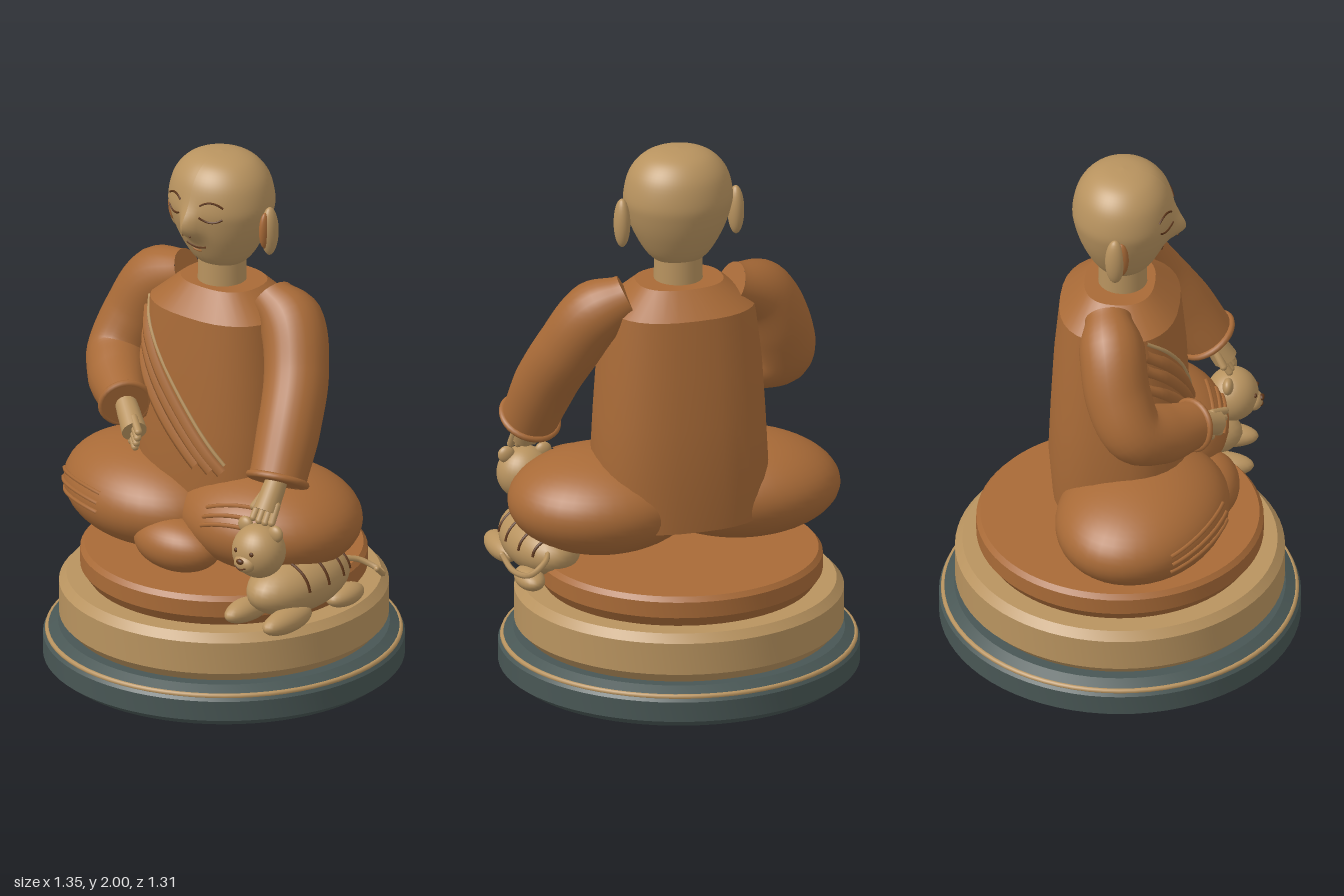
import * as THREE from 'three';
import { toCreasedNormals } from 'three/addons/utils/BufferGeometryUtils.js';

const V = (x, y, z) => new THREE.Vector3(x, y, z);
const material = (name, color) => Object.assign(new THREE.MeshStandardMaterial({ color }), { name });
const CX = -0.02; // axis of the plinth and body

export function createModel() {
  const robe = material('robe orange', 0xa86a37);
  const skin = material('warm tan', 0xb8935f);
  const slate = material('dark slate', 0x485654);
  const brown = material('dark brown', 0x5c3519);
  const root = new THREE.Group();
  root.name = 'seatedMonk';

  const add = (name, geo, mat, parent = root) => {
    const mesh = new THREE.Mesh(geo, mat);
    mesh.name = name;
    parent.add(mesh);
    return mesh;
  };
  const ball = (name, mat, p, r, parent = root, seg = 24) => {
    const mesh = add(name, new THREE.SphereGeometry(1, seg, Math.ceil(seg * 0.7)).scale(...r), mat, parent);
    mesh.position.set(...p);
    return mesh;
  };
  const lathe = (pts, seg) => new THREE.LatheGeometry(pts.map(p => new THREE.Vector2(...p)), seg);
  const tube = (name, mat, pts, r, parent = root, seg = 24) =>
    add(name, new THREE.TubeGeometry(new THREE.CatmullRomCurve3(pts), seg, r, 6), mat, parent);
  // Curve laid over a surface given as z = f(x, y)
  const drape = (name, mat, from, to, bow, f, r, parent = root) => {
    const pts = [];
    for (let i = 0; i <= 10; i++) {
      const t = i / 10;
      const x = THREE.MathUtils.lerp(from[0], to[0], t);
      const y = THREE.MathUtils.lerp(from[1], to[1], t) + bow * 4 * t * (1 - t);
      pts.push(V(x, y, f(x, y)));
    }
    return tube(name, mat, pts, r, parent);
  };
  // Tube whose radius follows a list, closed with discs
  const limb = (name, mat, pts, radii, parent = root) => {
    const curve = new THREE.CatmullRomCurve3(pts.map(p => V(...p)));
    const seg = 36, sides = 24;
    const geo = new THREE.TubeGeometry(curve, seg, 1, sides);
    const pos = geo.attributes.position, v = V(0, 0, 0);
    for (let i = 0; i <= seg; i++) {
      const c = curve.getPointAt(i / seg);
      const s = curve.getUtoTmapping(i / seg) * (radii.length - 1);
      const k = Math.min(Math.floor(s), radii.length - 2);
      const r = THREE.MathUtils.lerp(radii[k], radii[k + 1], THREE.MathUtils.smoothstep(s - k, 0, 1));
      for (let j = 0; j <= sides; j++) {
        const n = i * (sides + 1) + j;
        v.fromBufferAttribute(pos, n).sub(c).multiplyScalar(r).add(c);
        pos.setXYZ(n, v.x, v.y, v.z);
      }
    }
    add(name, geo, mat, parent);
    [0, 1].forEach(u => {
      const cap = add(name + 'End', new THREE.CircleGeometry(radii[u * (radii.length - 1)], sides), mat, parent);
      cap.position.copy(curve.getPointAt(u));
      cap.quaternion.setFromUnitVectors(V(0, 0, 1), curve.getTangentAt(u).multiplyScalar(u ? 1 : -1));
    });
    return curve;
  };

  // Three-tier round plinth
  const tier = (name, mat, pts) => {
    add(name, toCreasedNormals(lathe(pts, 72), 0.35), mat).position.x = CX;
  };
  tier('plinthBase', slate, [[0, 0], [0.615, 0], [0.655, 0.03], [0.655, 0.105], [0.635, 0.13], [0.6, 0.15], [0, 0.15]]);
  tier('plinthMiddle', skin, [[0, 0.14], [0.55, 0.14], [0.597, 0.19], [0.597, 0.31], [0.57, 0.34], [0, 0.34]]);
  tier('cushion', robe, [[0, 0.33], [0.485, 0.33], [0.52, 0.38], [0.52, 0.44], [0.505, 0.458], [0, 0.458]]);
  const trim = add('plinthTrim', new THREE.TorusGeometry(0.638, 0.01, 8, 72).rotateX(Math.PI / 2), skin);
  trim.position.set(CX, 0.121, 0);

  // Crossed legs with robe folds
  const leg = (name, p, r, yaw, folds, x0, x1) => {
    const group = new THREE.Group();
    group.name = name;
    group.position.set(...p);
    group.rotation.y = yaw;
    root.add(group);
    ball('thigh', robe, [0, 0, 0], r, group, 40);
    const f = (x, y) => r[2] * Math.sqrt(1 - (x / r[0]) ** 2 - (y / r[1]) ** 2);
    folds.forEach(y => drape('legFold', robe, [x0, y - 0.01], [x1, y + 0.02], 0.012, f, 0.008, group));
  };
  leg('rightLeg', [-0.27, 0.645, 0.105], [0.38, 0.19, 0.3], -0.35, [-0.03, 0.005, 0.04], -0.24, 0.1);
  leg('leftLeg', [0.25, 0.66, 0.06], [0.35, 0.19, 0.31], 0, [0.04, 0.07, 0.1], -0.08, 0.12);
  ball('foldedFoot', robe, [0.02, 0.565, 0.31], [0.18, 0.1, 0.12], root, 32);

  // Torso with a rounded-square section
  const torsoProfile = [[0, 0.6], [0.3, 0.6], [0.32, 0.8], [0.31, 1.0], [0.297, 1.2], [0.272, 1.41], [0.16, 1.5], [0, 1.5]];
  const torsoGeo = lathe(torsoProfile, 32);
  const tp = torsoGeo.attributes.position;
  const bulge = (a, r) => (r > 0 ? Math.sign(a) * r * Math.abs(a / r) ** 0.8 : 0);
  for (let i = 0; i < tp.count; i++) {
    const x = tp.getX(i), z = tp.getZ(i), r = Math.hypot(x, z);
    tp.setXYZ(i, bulge(x, r) + CX, tp.getY(i), bulge(z, r) * 0.8);
  }
  add('torso', toCreasedNormals(torsoGeo, 0.45), robe);

  // Diagonal sash folds across the chest
  const chest = (x, y) => {
    const r = 0.32 - 0.048 * Math.max(0, (y - 0.8) / 0.61);
    return 0.8 * r * Math.max(0, 1 - Math.min(1, Math.abs((x - CX) / r)) ** 2.5) ** 0.4;
  };
  drape('sashEdge', skin, [-0.27, 1.4], [0.17, 0.88], -0.01, (x, y) => chest(x, y) + 0.006, 0.007);
  [[[-0.275, 1.35], [0.16, 0.85]], [[-0.28, 1.29], [0.12, 0.85]], [[-0.29, 1.22], [0.06, 0.86]]].forEach(([a, b]) =>
    drape('sashFold', robe, a, b, -0.02, chest, 0.024));

  // Sleeves with cuffs
  const sleeve = (name, pts, radii) => {
    const curve = limb(name, robe, pts, radii);
    const end = radii[radii.length - 1];
    const cuff = add(name + 'Cuff', new THREE.TorusGeometry(end, 0.013, 8, 32), robe);
    cuff.position.copy(curve.getPointAt(0.985));
    cuff.quaternion.setFromUnitVectors(V(0, 0, 1), curve.getTangentAt(1));
  };
  sleeve('rightSleeve', [[-0.21, 1.46, -0.025], [-0.33, 1.405, 0], [-0.41, 1.26, 0.03], [-0.44, 1.13, 0.09],
    [-0.37, 1.075, 0.18], [-0.24, 1.03, 0.29]], [0.085, 0.12, 0.12, 0.115, 0.11, 0.088]);
  sleeve('leftSleeve', [[0.185, 1.46, -0.025], [0.3, 1.4, 0], [0.38, 1.25, 0.07], [0.43, 1.09, 0.17],
    [0.46, 0.91, 0.275]], [0.085, 0.12, 0.118, 0.115, 0.105]);

  // Hands: wrist, palm and four fingers spread sideways, plus a thumb
  const hand = (name, from, to, side) => {
    const group = new THREE.Group();
    group.name = name;
    root.add(group);
    const a = V(...from), b = V(...to), s = V(...side);
    const at = (t, k) => a.clone().lerp(b, t).addScaledVector(s, k);
    limb('palm', skin, [at(0, 0), at(0.35, 0), at(0.72, 0)].map(p => p.toArray()), [0.04, 0.043, 0.046], group);
    const finger = (p, q) => {
      const d = q.clone().sub(p);
      const m = add('finger', new THREE.CapsuleGeometry(0.014, d.length(), 4, 10), skin, group);
      m.position.copy(p).addScaledVector(d, 0.5);
      m.quaternion.setFromUnitVectors(V(0, 1, 0), d.normalize());
    };
    [-0.039, -0.013, 0.013, 0.039].forEach(k => finger(at(0.55, k), at(0.95 - Math.abs(k), k * 1.1)));
    finger(at(0.3, 0.03), at(0.7, 0.058));
  };
  hand('rightHand', [-0.25, 1.035, 0.28], [-0.1, 0.95, 0.39], [-0.35, -0.85, -0.2]);
  hand('leftHand', [0.46, 0.93, 0.27], [0.46, 0.775, 0.365], [-1, 0, 0]);

  // Neck and egg-shaped head with a drawn-out nose
  add('neck', new THREE.CylinderGeometry(0.088, 0.09, 0.22, 32), skin).position.set(CX, 1.5, 0.01);
  const profile = new THREE.SplineCurve([[0, 1.555], [0.06, 1.565], [0.115, 1.605], [0.165, 1.69], [0.193, 1.77],
    [0.2, 1.83], [0.18, 1.91], [0.135, 1.965], [0.075, 1.992], [0, 2]].map(p => new THREE.Vector2(...p))).getPoints(48);
  profile.forEach(p => { p.x = Math.max(p.x, 0); });
  const nose = (x, y) => 0.055 * Math.exp(-((x / 0.035) ** 2) - ((y - 1.75) / (y > 1.75 ? 0.065 : 0.04)) ** 2);
  const headGeo = new THREE.LatheGeometry(profile, 64);
  const hp = headGeo.attributes.position;
  for (let i = 0; i < hp.count; i++) {
    const x = hp.getX(i), y = hp.getY(i), z = hp.getZ(i);
    hp.setXYZ(i, x + CX, y, z * 0.92 + 0.012 + (z > 0 ? nose(x, y) : 0));
  }
  headGeo.computeVertexNormals();
  add('head', headGeo, skin);
  const face = (x, y) => {
    const i = Math.max(1, profile.findIndex(p => p.y >= y)), p = profile[i - 1], q = profile[i];
    const r = THREE.MathUtils.mapLinear(y, p.y, q.y, p.x, q.x);
    return 0.013 + 0.92 * Math.sqrt(Math.max(0, r * r - (x - CX) ** 2)) + nose(x - CX, y);
  };
  [-1, 1].forEach(s => {
    drape('closedEye', brown, [CX + s * 0.045, 1.806], [CX + s * 0.125, 1.806], -0.016, face, 0.004);
    drape('eyebrow', brown, [CX + s * 0.045, 1.85], [CX + s * 0.125, 1.848], 0.016, face, 0.004);
    ball('nostril', brown, [CX + s * 0.016, 1.728, face(CX + s * 0.016, 1.728)], [0.005, 0.004, 0.004], root, 8);
    ball('ear', skin, [CX + s * 0.217, 1.738, 0.002], [0.03, 0.093, 0.036]);
    ball('innerEar', robe, [CX + s * 0.214, 1.745, 0.024], [0.018, 0.07, 0.028]);
  });
  drape('mouth', brown, [CX - 0.045, 1.675], [CX + 0.045, 1.675], -0.008, face, 0.004);
  drape('lowerLip', robe, [CX - 0.02, 1.655], [CX + 0.02, 1.655], -0.004, face, 0.004);

  // Striped cub beside the knee
  const cub = new THREE.Group();
  cub.name = 'cub';
  root.add(cub);
  const bc = [0.46, 0.49, 0.155], br = [0.135, 0.11, 0.245];
  ball('cubBody', skin, bc, br, cub, 32);
  ball('cubHead', skin, [0.45, 0.67, 0.365], [0.1, 0.1, 0.095], cub, 32);
  ball('cubMuzzle', skin, [0.45, 0.645, 0.445], [0.045, 0.034, 0.03], cub);
  ball('cubNose', brown, [0.45, 0.66, 0.472], [0.016, 0.011, 0.01], cub, 12);
  tube('cubMouth', brown, [V(0.425, 0.638, 0.468), V(0.45, 0.63, 0.474), V(0.475, 0.638, 0.468)], 0.003, cub);
  [-1, 1].forEach(s => {
    ball('cubEar', skin, [0.45 + s * 0.07, 0.75, 0.355], [0.032, 0.032, 0.02], cub);
    ball('cubEye', brown, [0.45 + s * 0.036, 0.69, 0.451], [0.009, 0.009, 0.006], cub, 10);
    ball('frontPaw', skin, [0.46 + s * 0.09, 0.41, 0.325], [0.052, 0.045, 0.125], cub);
    ball('hindPaw', skin, [0.46 + s * 0.09, 0.405, 0.0], [0.052, 0.04, 0.09], cub);
    [0.24, 0.14, 0.04, -0.03].forEach(z => {
      const k = Math.sqrt(1 - ((z - bc[2]) / br[2]) ** 2);
      const pts = [0.1, 0.4, 0.7, 1, 1.25].map(a =>
        V(bc[0] + s * br[0] * k * Math.cos(a), bc[1] + br[1] * k * Math.sin(a), z));
      tube('cubStripe', brown, pts, 0.006, cub);
    });
  });
  tube('cubTail', skin, [V(0.49, 0.52, -0.04), V(0.53, 0.5, -0.11), V(0.6, 0.47, -0.138), V(0.645, 0.48, -0.1),
    V(0.668, 0.525, -0.04)], 0.011, cub);
  ball('cubTailTip', skin, [0.668, 0.525, -0.04], [0.011, 0.011, 0.011], cub, 10);

  return root;
}
